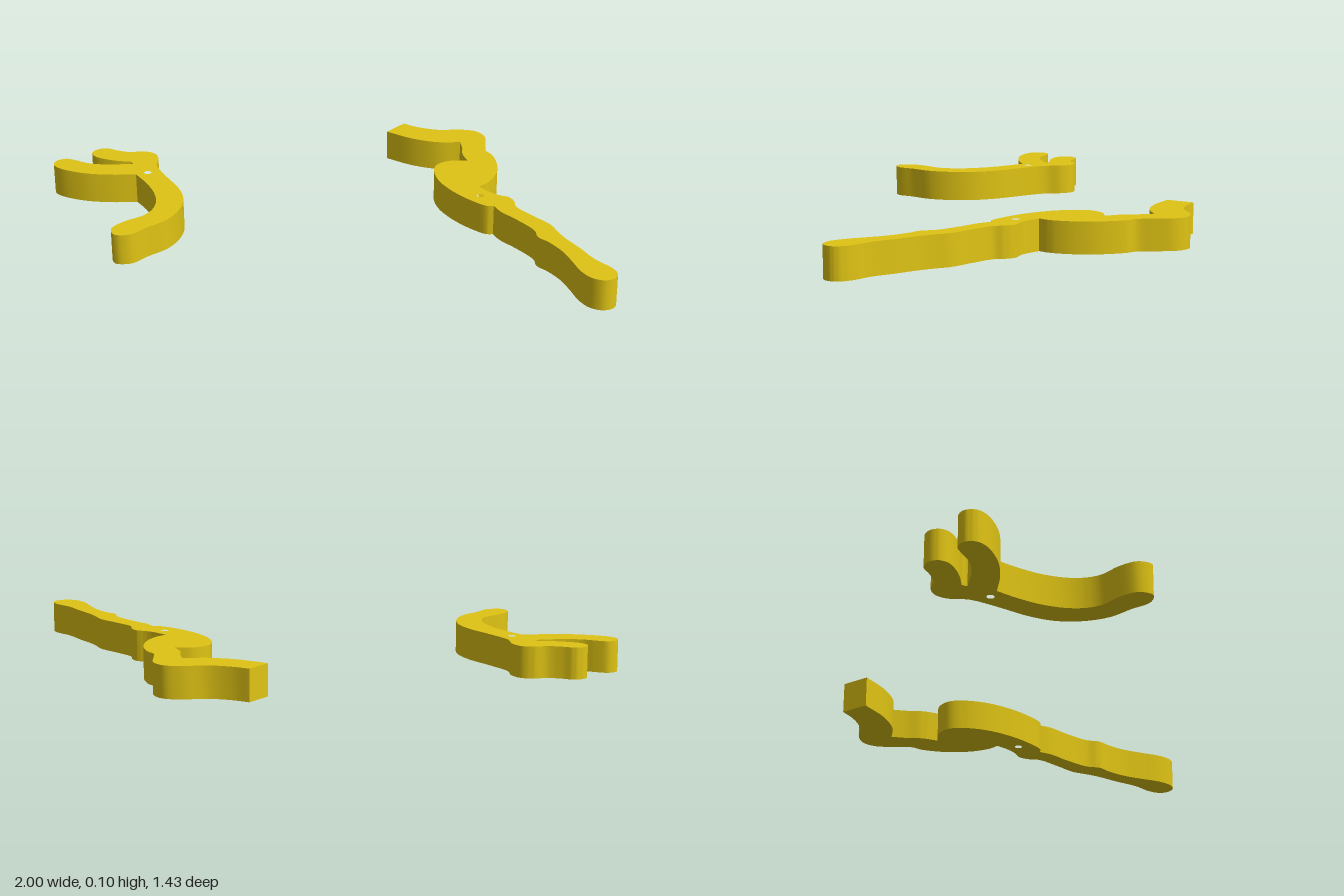
import * as THREE from 'three';
import { toCreasedNormals } from 'three/addons/utils/BufferGeometryUtils.js';

const HEIGHT = 0.105;
const material = new THREE.MeshStandardMaterial({ color: 0xe0c414 });

// Smooth curve through [x, z] points; returned in the shape plane (y = -z)
function smoothRun(points) {
  const curve = new THREE.CatmullRomCurve3(points.map(([x, z]) => new THREE.Vector3(x, -z, 0)), false, 'centripetal');
  return curve.getPoints((points.length - 1) * 5).map((p) => new THREE.Vector2(p.x, p.y));
}

// Flat plate: smooth runs meeting at sharp corners, with one round pin hole
function plate(name, runs, [holeX, holeZ]) {
  const outline = runs.flatMap((run, i) => {
    const next = runs[(i + 1) % runs.length][0];
    return smoothRun([...run, next]).slice(0, -1);
  });
  const shape = new THREE.Shape(outline);
  shape.holes.push(new THREE.Path().absarc(holeX, -holeZ, 0.013, 0, Math.PI * 2, true));
  const geometry = new THREE.ExtrudeGeometry(shape, { depth: HEIGHT, bevelEnabled: false, curveSegments: 8 });
  geometry.rotateX(-Math.PI / 2);
  const mesh = new THREE.Mesh(toCreasedNormals(geometry, 0.6), material);
  mesh.name = name;
  return mesh;
}

export function createModel() {
  const group = new THREE.Group();
  group.name = 'hookedArms';

  // Long arm: square tail, bent neck, round bulge and slim handle
  group.add(plate('longArm', [
    // back edge of the tail and bulge
    [[-0.262, -0.607], [-0.2, -0.614], [-0.13, -0.64], [-0.065, -0.695], [-0.015, -0.716], [0.035, -0.7],
      [0.08, -0.645], [0.115, -0.598], [0.155, -0.58], [0.22, -0.52], [0.262, -0.45], [0.28, -0.38]],
    // back edge of the handle, rounded tip, front edge, lower bulge
    [[0.275, -0.335], [0.33, -0.322], [0.37, -0.322], [0.405, -0.329], [0.44, -0.31], [0.465, -0.283],
      [0.55, -0.26], [0.63, -0.242], [0.68, -0.212], [0.72, -0.19], [0.8, -0.158], [0.88, -0.122],
      [0.955, -0.105], [0.99, -0.08], [0.997, -0.05], [0.98, -0.02], [0.94, -0.009], [0.89, -0.025],
      [0.83, -0.065], [0.77, -0.103], [0.7, -0.13], [0.65, -0.14], [0.615, -0.172], [0.52, -0.203], [0.45, -0.218]],
    [[0.405, -0.24], [0.385, -0.226], [0.3, -0.23], [0.22, -0.25], [0.14, -0.287], [0.08, -0.34],
      [0.055, -0.39], [0.07, -0.445]],
    // notch beside the bulge, then the underside of the tail
    [[0.118, -0.485], [0.07, -0.52], [0.035, -0.565]],
    [[0, -0.6], [-0.06, -0.55], [-0.15, -0.518]],
    [[-0.262, -0.509]],
  ], [0.323, -0.278]));

  // Forked arm: two rounded prongs and a curved handle
  group.add(plate('forkedArm', [
    // short prong and outer edge of the handle, around its tip to the inner edge
    [[-0.79, 0.27], [-0.85, 0.302], [-0.92, 0.318], [-0.952, 0.303], [-0.96, 0.272], [-0.94, 0.24],
      [-0.9, 0.231], [-0.855, 0.213], [-0.82, 0.177], [-0.78, 0.166], [-0.74, 0.185], [-0.7, 0.234],
      [-0.62, 0.275], [-0.5, 0.327], [-0.43, 0.38], [-0.385, 0.45], [-0.365, 0.53], [-0.375, 0.61],
      [-0.38, 0.68], [-0.42, 0.713], [-0.46, 0.685], [-0.464, 0.62], [-0.448, 0.55], [-0.458, 0.5],
      [-0.49, 0.45], [-0.55, 0.4], [-0.63, 0.36]],
    // long prong
    [[-0.7, 0.335], [-0.77, 0.395], [-0.85, 0.443], [-0.94, 0.467], [-0.982, 0.458], [-0.999, 0.427],
      [-0.985, 0.395], [-0.95, 0.383], [-0.9, 0.374], [-0.84, 0.341]],
    // rounded root of the fork
    [[-0.785, 0.29], [-0.774, 0.28]],
  ], [-0.68, 0.298]));

  return group;
}
